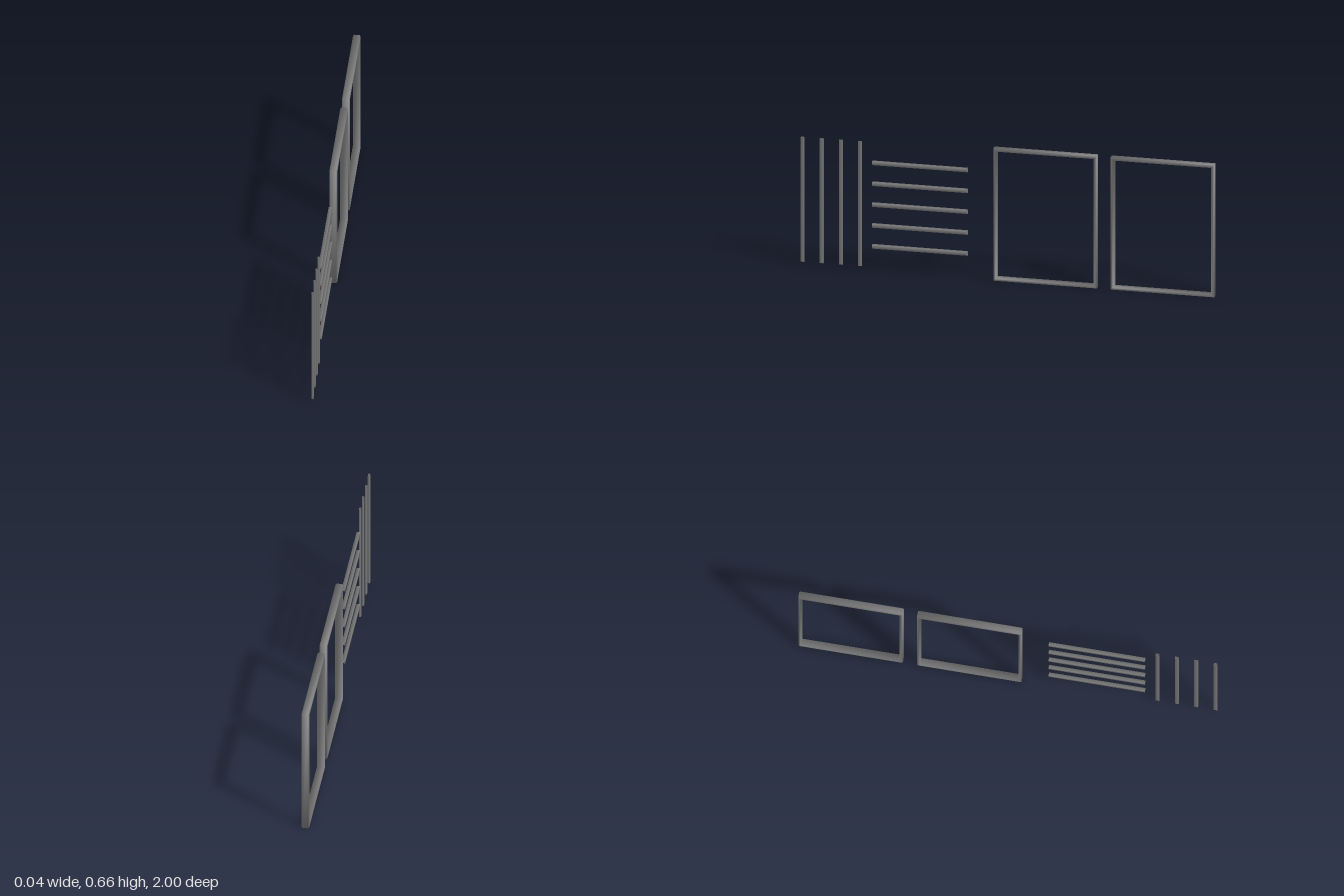
import * as THREE from 'three';
import { toCreasedNormals } from 'three/addons/utils/BufferGeometryUtils.js';

const HEIGHT = 0.66, WIDTH = 0.5, DEPTH = 0.037, RAIL = 0.016, BEVEL = 0.005;
const BAR = 0.018;

function rectangle(Type, w, h) {
  return new Type([
    new THREE.Vector2(-w / 2, -h / 2), new THREE.Vector2(w / 2, -h / 2),
    new THREE.Vector2(w / 2, h / 2), new THREE.Vector2(-w / 2, h / 2),
  ]);
}

// Rectangular frame with softened, smoothly shaded edges in the yz plane
function frameGeometry() {
  const shape = rectangle(THREE.Shape, WIDTH, HEIGHT);
  shape.holes.push(rectangle(THREE.Path, WIDTH - 2 * RAIL, HEIGHT - 2 * RAIL));
  const geo = new THREE.ExtrudeGeometry(shape, {
    depth: DEPTH - 2 * BEVEL, bevelEnabled: true, bevelSegments: 1,
    bevelSize: BEVEL, bevelThickness: BEVEL, bevelOffset: -BEVEL,
  });
  geo.translate(0, 0, BEVEL - DEPTH / 2);
  geo.rotateY(Math.PI / 2);
  return toCreasedNormals(geo, Math.PI);
}

// Smoothly shaded four-sided bar along y with open ends
function barGeometry(thickness, length) {
  const geo = new THREE.CylinderGeometry(Math.SQRT1_2, Math.SQRT1_2, length, 4, 1, true);
  geo.rotateY(Math.PI / 4);
  geo.scale(thickness, 1, BAR);
  return geo;
}

export function createModel() {
  const model = new THREE.Group();
  const solid = new THREE.MeshStandardMaterial({ color: 0x787878 });
  const open = new THREE.MeshStandardMaterial({ color: 0x787878, side: THREE.DoubleSide });

  function add(name, geometry, material, y, z) {
    const mesh = new THREE.Mesh(geometry, material);
    mesh.name = name;
    mesh.position.set(0, y, z);
    model.add(mesh);
  }

  // Two window frames side by side
  const frame = frameGeometry();
  add('frontFrame', frame, solid, HEIGHT / 2, -0.183);
  add('backFrame', frame, solid, HEIGHT / 2, -0.75);

  // Horizontal glazing bars
  const horizontal = barGeometry(0.016, 0.46);
  horizontal.rotateX(Math.PI / 2);
  for (let i = 0; i < 5; i++) add(`horizontalBar${i + 1}`, horizontal, open, 0.121 + i * 0.104, 0.424);

  // Vertical glazing bars
  const vertical = barGeometry(0.01, 0.62);
  for (let i = 0; i < 4; i++) add(`verticalBar${i + 1}`, vertical, open, 0.329, 1 - BAR / 2 - i * 0.0925);

  return model;
}
